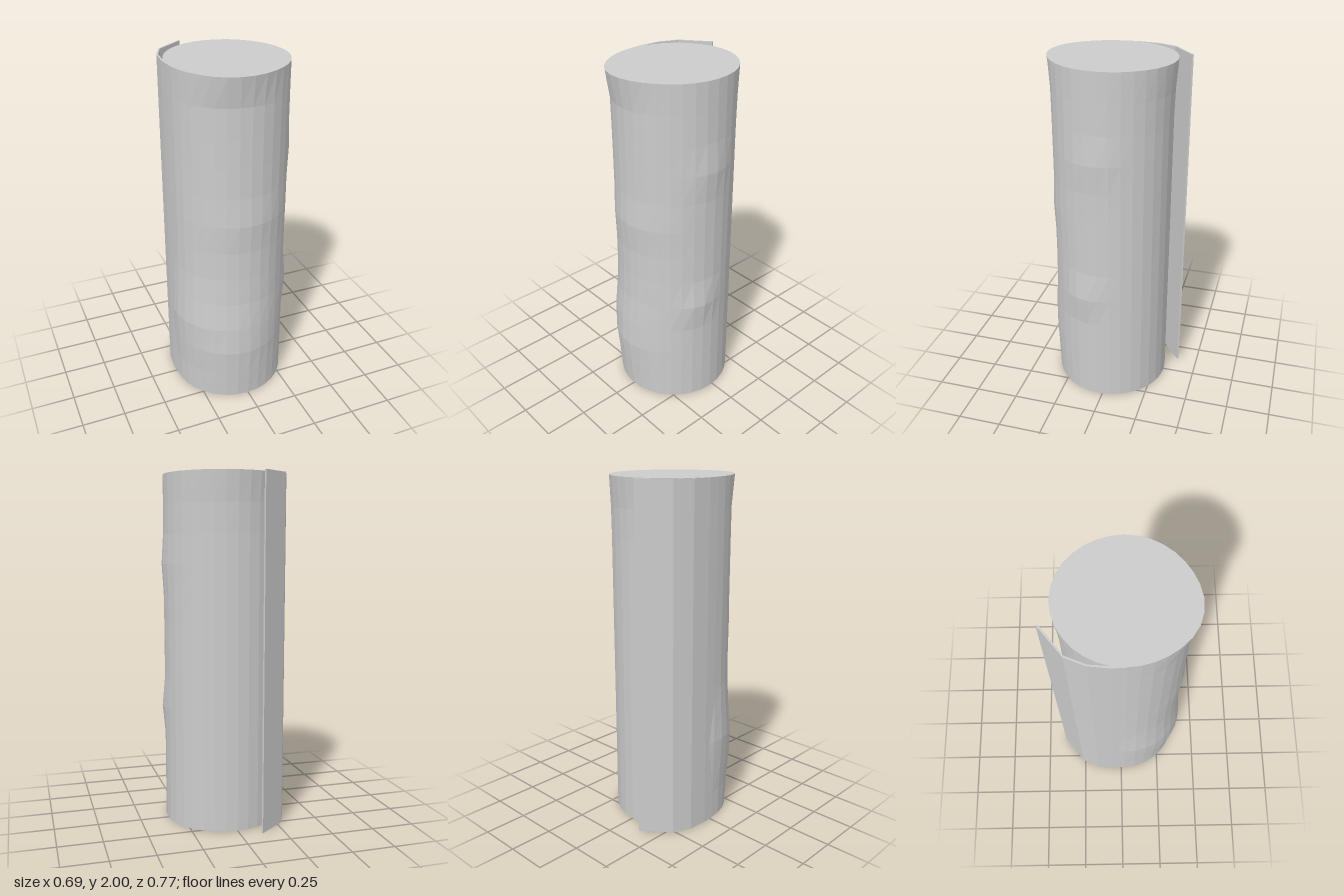
import * as THREE from 'three';

const RADIUS = 0.334, HEIGHT = 2, CENTRE_Z = 0.022;

// Soft bulges on the roll: [angle from front toward +x in degrees, y, height, angular width, vertical width]
const BULGES = [
  [-15, 0.36, 0.032, 40, 0.26],
  [-50, 0.5, 0.012, 22, 0.2],
  [-80, 0.5, 0.014, 22, 0.2],
  [74, 0.667, 0.017, 18, 0.08],
  [85, 1.5, 0.013, 22, 0.12],
  [0, 1.17, 0.010, 40, 0.1],
  [-15, 2, 0.032, 35, 0.1],
  [180, 2, 0.018, 50, 0.14],
];

function bulge(angle, y) {
  let d = 0;
  for (const [a, by, h, wa, wy] of BULGES) {
    const da = THREE.MathUtils.euclideanModulo(angle - a + 180, 360) - 180;
    d += h * Math.exp(-((da / wa) ** 2) - ((y - by) / wy) ** 2);
  }
  return d;
}

export function createModel() {
  const group = new THREE.Group();
  group.name = 'wrappedRoll';
  const material = new THREE.MeshStandardMaterial({ color: 0xcccccc, flatShading: true });

  // Faceted roll, pushed outward by the bulges
  const rollGeometry = new THREE.CylinderGeometry(RADIUS, RADIUS, HEIGHT, 32, 12);
  rollGeometry.translate(0, HEIGHT / 2, 0);
  const pos = rollGeometry.attributes.position;
  for (let i = 0; i < pos.count; i++) {
    const x = pos.getX(i), y = pos.getY(i), z = pos.getZ(i);
    const angle = THREE.MathUtils.radToDeg(Math.atan2(x, z));
    const scale = 1 + bulge(angle, y) / RADIUS;
    pos.setXYZ(i, x * scale, y, z * scale + CENTRE_Z);
  }
  rollGeometry.computeVertexNormals();
  const roll = new THREE.Mesh(rollGeometry, material);
  roll.name = 'roll';
  group.add(roll);

  // Loose end of the sheet, peeling away at the back; outline in x and z
  const outline = [
    [-0.127, -0.386], [-0.283, -0.263], [-0.328, -0.157], [-0.339, -0.05], [-0.338, 0.02],
    [-0.328, 0.02], [-0.328, -0.05], [-0.319, -0.153], [-0.275, -0.258], [-0.122, -0.377],
  ];
  const shape = new THREE.Shape(outline.map(([x, z]) => new THREE.Vector2(x, -z)));
  const flapGeometry = new THREE.ExtrudeGeometry(shape, { depth: HEIGHT, bevelEnabled: false });
  flapGeometry.rotateX(-Math.PI / 2);
  const flap = new THREE.Mesh(flapGeometry, material);
  flap.name = 'looseFlap';
  group.add(flap);

  return group;
}
